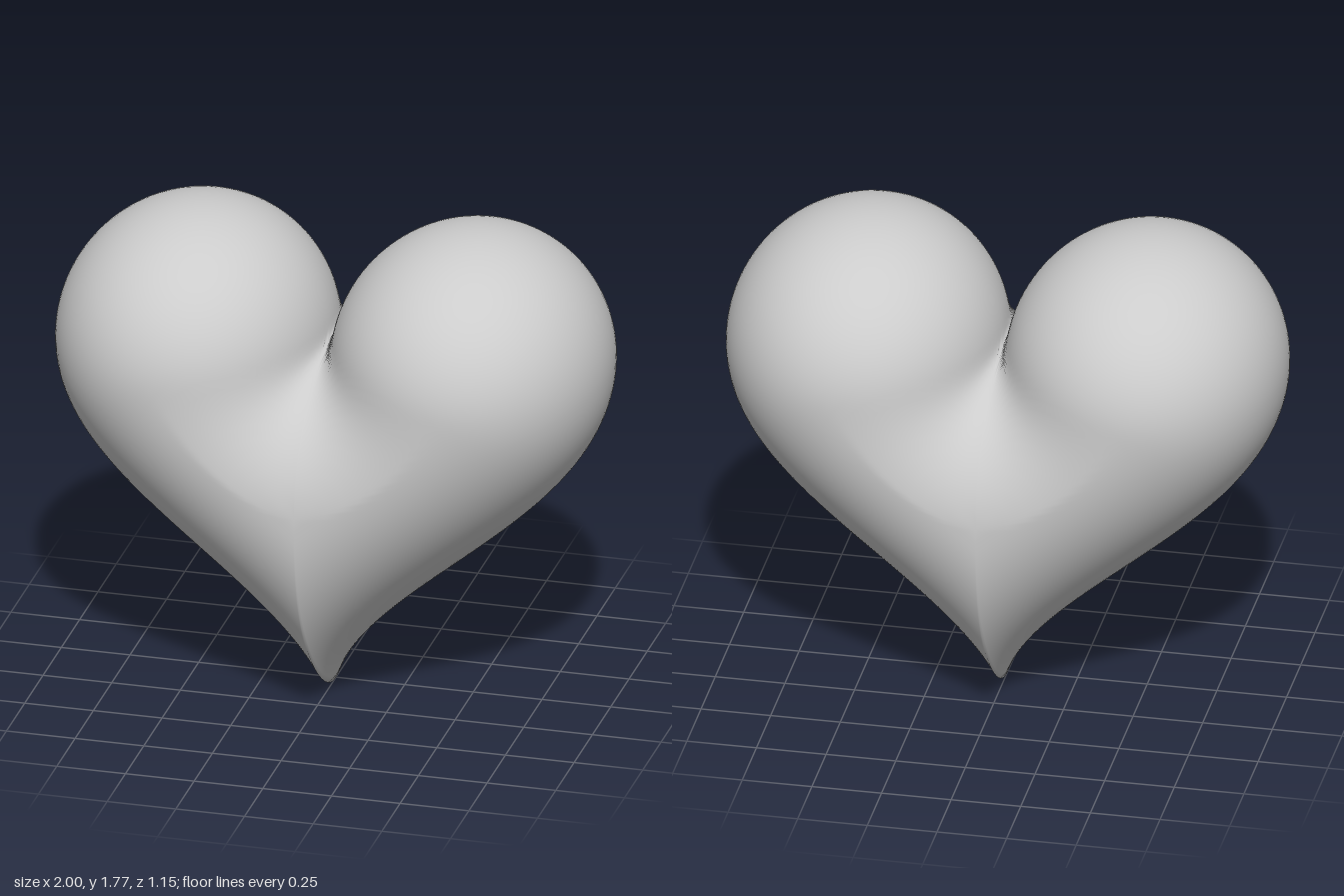
import * as THREE from 'three';

const DEPTH = 0.575;   // half thickness of the body
const ROUND = 0.5;     // inset over which the edge rounds off
const RINGS = 32;

// Heart outline, counter-clockwise from the cleft, mirrored from its right half
function heartOutline() {
  const lobe = new THREE.EllipseCurve(0.5, 1.278, 0.5, 0.497, Math.PI - 0.12, 0, true);
  const side = new THREE.CubicBezierCurve(
    new THREE.Vector2(1, 1.278), new THREE.Vector2(1, 0.73),
    new THREE.Vector2(0.15, 0.45), new THREE.Vector2(0, 0));
  const half = [...lobe.getSpacedPoints(60), ...side.getSpacedPoints(56).slice(1)];
  half[0].set(0, 1.338);
  half[half.length - 1].set(0, 0);
  const mirrored = half.map((p) => new THREE.Vector2(-p.x, p.y));
  return [...mirrored, ...half.slice(1, -1).reverse()];
}

// Shortest distance from (x, y) to the closed outline
function edgeDistance(x, y, pts) {
  let best = Infinity;
  for (let i = 0; i < pts.length; i++) {
    const a = pts[i], b = pts[(i + 1) % pts.length];
    const dx = b.x - a.x, dy = b.y - a.y;
    const t = THREE.MathUtils.clamp(
      ((x - a.x) * dx + (y - a.y) * dy) / (dx * dx + dy * dy), 0, 1);
    best = Math.min(best, Math.hypot(x - a.x - t * dx, y - a.y - t * dy));
  }
  return best;
}

// Puffed body: rings shrink toward the middle, thickness follows edge distance
function heartGeometry() {
  const outline = heartOutline(), n = outline.length;
  const mid = new THREE.Vector2(0, 0.85);
  const thickness = (x, y) => {
    const k = 1 - Math.min(edgeDistance(x, y, outline) / ROUND, 1);
    return DEPTH * Math.sqrt(1 - k * k);
  };
  const position = [], index = [];

  // rings run from the front middle, over the rim, to the back middle
  for (let j = -RINGS + 1; j < RINGS; j++) {
    const e = j / RINGS, scale = 1 - e * e;
    for (const p of outline) {
      const x = mid.x + (p.x - mid.x) * scale;
      const y = mid.y + (p.y - mid.y) * scale;
      position.push(x, y, j === 0 ? 0 : -Math.sign(j) * thickness(x, y));
    }
  }
  const rows = 2 * RINGS - 1;
  for (let j = 0; j < rows - 1; j++) {
    for (let i = 0; i < n; i++) {
      const a = j * n + i, b = j * n + (i + 1) % n;
      index.push(a, a + n, b, b, a + n, b + n);
    }
  }

  // middle points closing the front and the back
  const front = rows * n, back = front + 1, z = thickness(mid.x, mid.y);
  position.push(mid.x, mid.y, z, mid.x, mid.y, -z);
  for (let i = 0; i < n; i++) {
    const k = (i + 1) % n, last = (rows - 1) * n;
    index.push(front, i, k, back, last + k, last + i);
  }

  const geometry = new THREE.BufferGeometry();
  geometry.setAttribute('position', new THREE.Float32BufferAttribute(position, 3));
  geometry.setIndex(index);
  geometry.computeVertexNormals();
  return geometry;
}

export function createModel() {
  const group = new THREE.Group();
  group.name = 'heart';
  const body = new THREE.Mesh(
    heartGeometry(), new THREE.MeshStandardMaterial({ color: 0xcccccc }));
  body.name = 'heartBody';
  group.add(body);
  return group;
}
